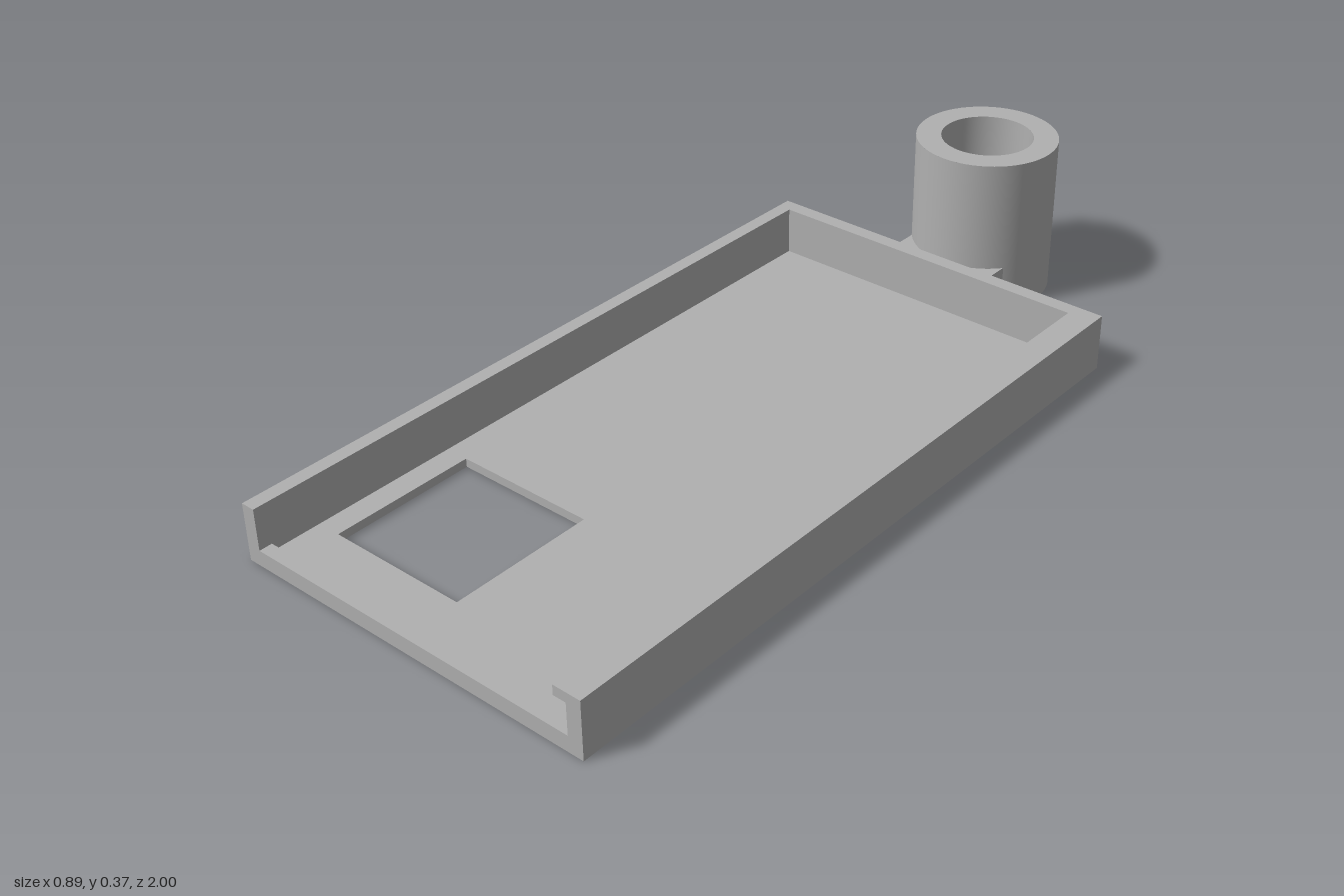
import * as THREE from 'three';

const FLOOR = 0.02, TOP = 0.133, HALF = 0.443, BACK = -0.65;
const TUBE_Z = -0.835, R_OUT = 0.165, R_IN = 0.107, TUBE_H = 0.371;
const SECTOR = 0.6, PIN_R = 0.02;

export function createModel() {
  const model = new THREE.Group();
  model.name = 'trayWithSocket';
  const grey = new THREE.MeshStandardMaterial({ color: 0xb0b0b0 });
  grey.name = 'grey plastic';

  const add = (name, geometry, parent = model) => {
    const mesh = new THREE.Mesh(geometry, grey);
    mesh.name = name;
    parent.add(mesh);
    return mesh;
  };
  // Box given by its limits on each axis
  const box = (name, x0, x1, y0, y1, z0, z1) =>
    add(name, new THREE.BoxGeometry(x1 - x0, y1 - y0, z1 - z0)
      .translate((x0 + x1) / 2, (y0 + y1) / 2, (z0 + z1) / 2));
  const rect = (P, x0, x1, z0, z1) => new P([[x0, z0], [x1, z0], [x1, z1], [x0, z1]]
    .map(([x, z]) => new THREE.Vector2(x, z)));

  // Floor plate with rectangular window
  const plate = rect(THREE.Shape, -HALF, HALF, BACK, 1);
  plate.holes.push(rect(THREE.Path, -0.355, -0.02, 0.515, 0.855));
  add('floor', new THREE.ExtrudeGeometry(plate, { depth: FLOOR, bevelEnabled: false })
    .rotateX(Math.PI / 2).translate(0, FLOOR, 0));

  // Walls, front sill and the retaining lip on the left wall
  box('rightWall', -HALF, -0.41, FLOOR, TOP, BACK, 1);
  box('leftWall', 0.408, HALF, FLOOR, TOP, BACK, 1);
  box('backWall', -0.41, 0.408, FLOOR, TOP, BACK, -0.615);
  box('frontSill', -0.41, 0.408, FLOOR, 0.037, 0.97, 1);
  box('retainingLip', 0.378, 0.408, 0.11, TOP, -0.615, 1);

  // Arm that reaches into the socket
  box('arm', -0.13, 0.13, 0, 0.11, -0.84, BACK);

  // Round socket: open walls plus ring caps
  const socket = new THREE.Group();
  socket.name = 'socket';
  socket.position.z = TUBE_Z;
  model.add(socket);
  const lathe = (name, r0, y0, r1, y1, gap) => add(name, new THREE.LatheGeometry(
    [new THREE.Vector2(r0, y0), new THREE.Vector2(r1, y1)], 64,
    Math.PI + gap, 2 * Math.PI - 2 * gap), socket);
  lathe('socketOuterWall', R_OUT, 0, R_OUT, TUBE_H, SECTOR);
  lathe('socketBore', R_IN, TUBE_H, R_IN, 0, SECTOR);
  lathe('socketBottom', R_IN, 0, R_OUT, 0, 0);
  lathe('socketTop', R_OUT, TUBE_H, R_IN, TUBE_H, 0);

  // Bends a grid: t runs around the pin hole, s is the second direction
  const bend = (name, rows, rule) => {
    const g = new THREE.PlaneGeometry(1, 1, 64, rows);
    const p = g.attributes.position, n = g.attributes.normal;
    for (let i = 0; i < p.count; i++) {
      const t = (p.getX(i) + 0.5) * 2 * Math.PI, s = p.getY(i) + 0.5;
      const { phi, y, r, normal } = rule(t, s);
      p.setXYZ(i, r * Math.sin(phi), y, r * Math.cos(phi));
      n.setXYZ(i, ...normal);
    }
    return add(name, g, socket);
  };
  // Curved back panel, from the round hole out to a rectangle
  const panel = (name, r, dir) => bend(name, 10, (t, s) => {
    const c = Math.cos(t), d = -dir * Math.sin(t);
    const m = Math.max(Math.abs(c), Math.abs(d));
    const phi = Math.PI + THREE.MathUtils.lerp(Math.asin(PIN_R * c / r), SECTOR * c / m, s);
    const y = TUBE_H / 2 + THREE.MathUtils.lerp(PIN_R * d, TUBE_H / 2 * d / m, s);
    return { phi, y, r, normal: [dir * Math.sin(phi), 0, dir * Math.cos(phi)] };
  });
  panel('socketBackOuter', R_OUT, 1);
  panel('socketBackInner', R_IN, -1);

  // Wall of the pin hole through the back of the socket
  bend('pinHole', 1, (t, s) => {
    const c = Math.cos(t), d = -Math.sin(t);
    const r = THREE.MathUtils.lerp(R_IN, R_OUT, s);
    return { phi: Math.PI + Math.asin(PIN_R * c / r), y: TUBE_H / 2 + PIN_R * d, r, normal: [c, -d, 0] };
  });

  return model;
}
